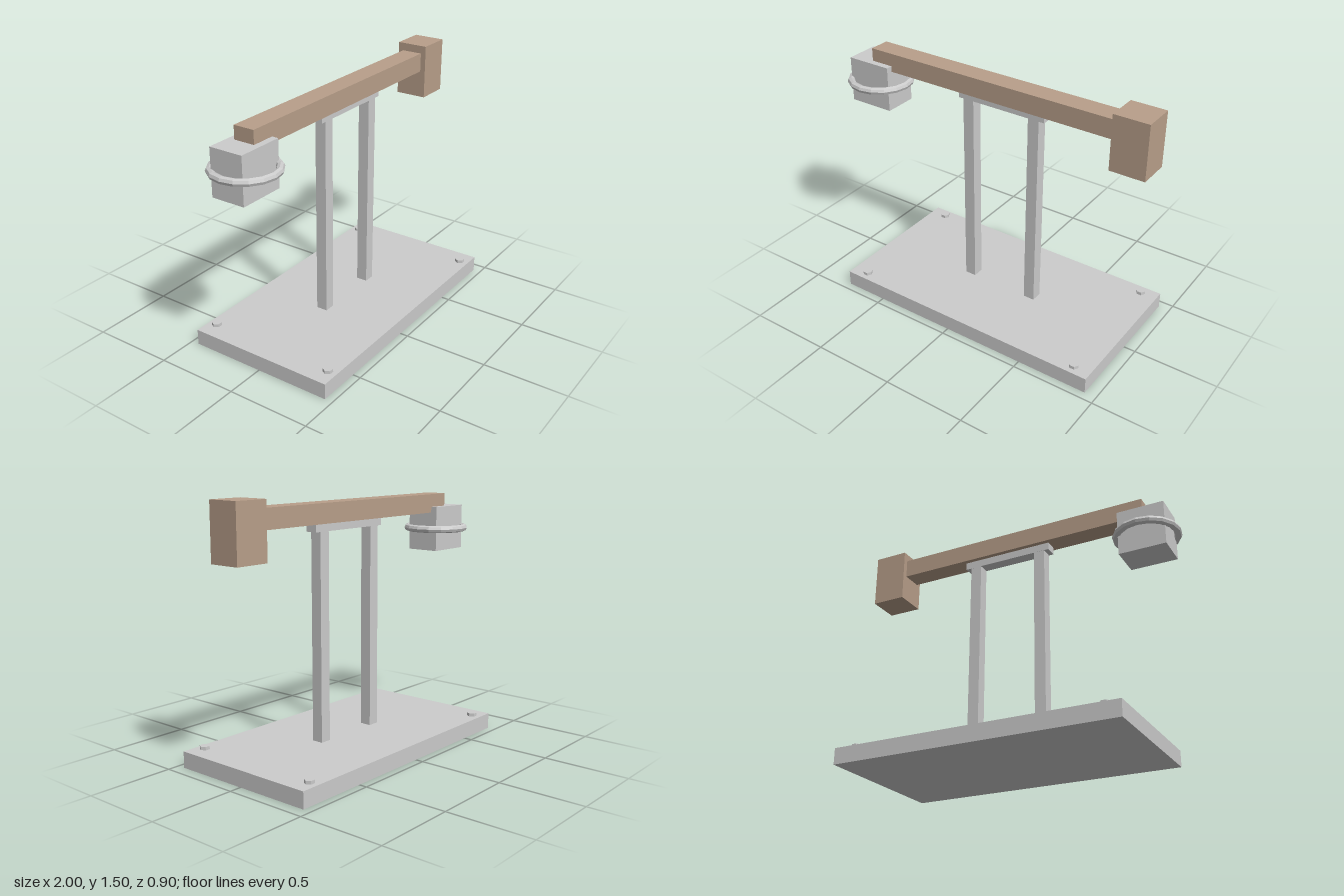
import * as THREE from 'three';

export function createModel() {
  const model = new THREE.Group();
  model.name = 'balanceStand';

  const metal = new THREE.MeshStandardMaterial({ color: 0xcccccc, flatShading: true });
  const wood = new THREE.MeshStandardMaterial({ color: 0xb89f8a, flatShading: true });

  const add = (name, geometry, material, x, y, z) => {
    const mesh = new THREE.Mesh(geometry, material);
    mesh.name = name;
    mesh.position.set(x, y, z);
    model.add(mesh);
    return mesh;
  };

  // Box given by its x and y extents, centred on z = 0
  const box = (name, material, x0, x1, y0, y1, depth) =>
    add(name, new THREE.BoxGeometry(x1 - x0, y1 - y0, depth), material, (x0 + x1) / 2, (y0 + y1) / 2, 0);

  // Base slab with a hexagonal bolt near each corner
  box('base', metal, -0.765, 0.93, 0, 0.095, 0.905);
  const boltGeometry = new THREE.CylinderGeometry(0.029, 0.029, 0.03, 6).rotateY(Math.PI / 6);
  for (const x of [-0.66, 0.825]) {
    for (const z of [-0.397, 0.397]) add('bolt', boltGeometry, metal, x, 0.099, z);
  }

  // Twin posts and the plate that carries the beam
  for (const x of [-0.133, 0.296]) box('post', metal, x - 0.034, x + 0.034, 0.095, 1.292, 0.068);
  box('topPlate', metal, -0.197, 0.365, 1.292, 1.337, 0.07);

  // Wooden beam with its counterweight
  box('beam', wood, -0.8, 0.8, 1.337, 1.45, 0.126);
  box('counterweight', wood, 0.793, 1, 1.175, 1.497, 0.19);

  // Hanging block at the other end, circled by a ring
  box('headBlock', metal, -0.94, -0.66, 1.1, 1.372, 0.204);
  const ringGeometry = new THREE.TorusGeometry(0.178, 0.022, 8, 16).rotateX(Math.PI / 2);
  add('ring', ringGeometry, metal, -0.8, 1.234, 0);

  return model;
}
